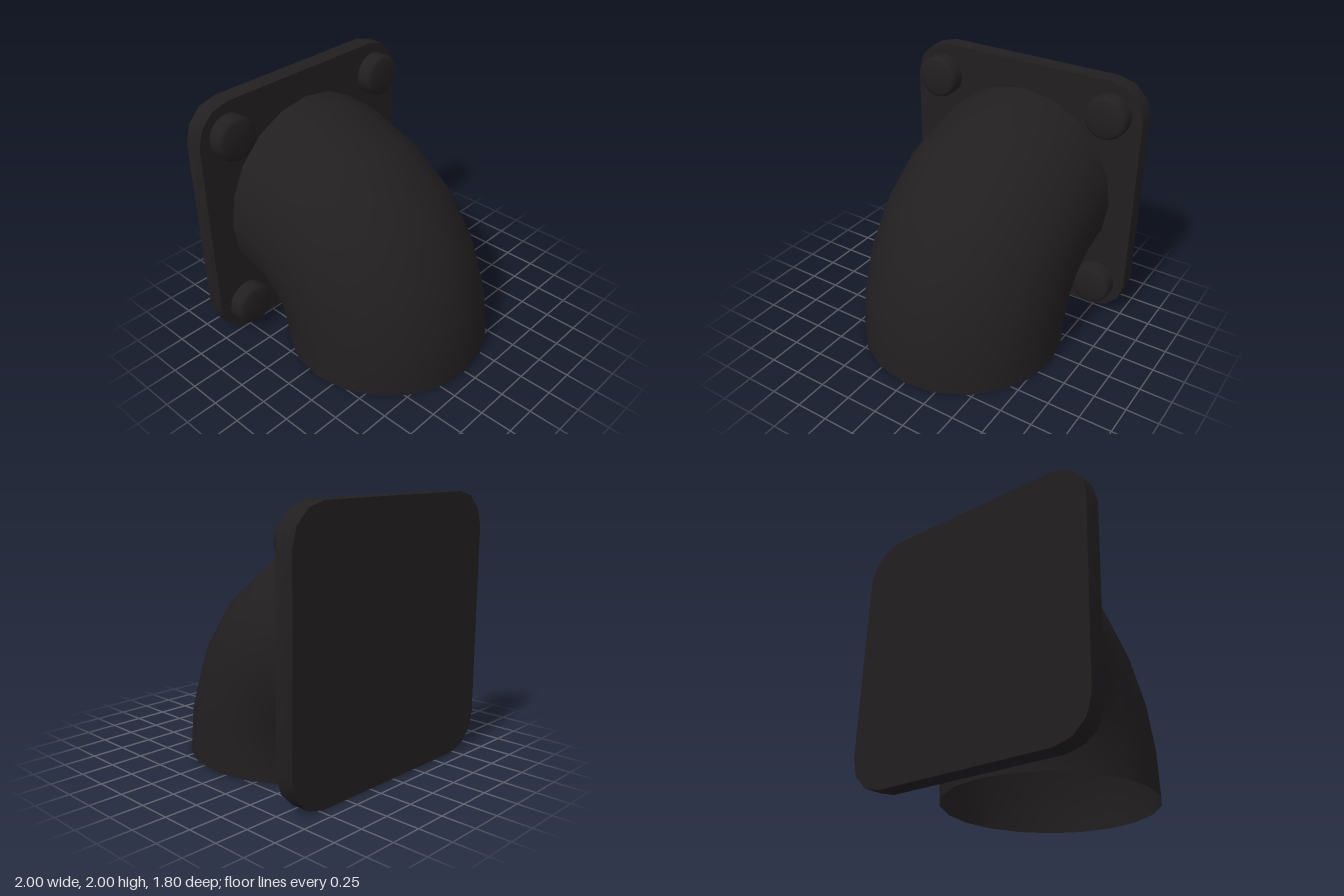
import * as THREE from 'three';
import { toCreasedNormals } from 'three/addons/utils/BufferGeometryUtils.js';

export function createModel() {
  const group = new THREE.Group();
  const material = new THREE.MeshStandardMaterial({ color: 0x221f21 });
  const add = (name, geometry, mat = material) => {
    const mesh = new THREE.Mesh(geometry, mat);
    mesh.name = name;
    group.add(mesh);
    return mesh;
  };

  // Square mounting plate with rounded corners
  const r = 0.28;
  const outline = new THREE.Shape();
  outline.absarc(1 - r, 2 - r, r, 0, Math.PI / 2);
  outline.absarc(r - 1, 2 - r, r, Math.PI / 2, Math.PI);
  outline.absarc(r - 1, r, r, Math.PI, Math.PI * 1.5);
  outline.absarc(1 - r, r, r, Math.PI * 1.5, Math.PI * 2);
  // absarc is sampled with twice curveSegments, so sample the corners here
  const corners = [];
  for (const curve of outline.curves) {
    if (curve.type === 'EllipseCurve') corners.push(...curve.getPoints(3));
  }
  const plateGeometry = new THREE.ExtrudeGeometry(new THREE.Shape(corners), { depth: 0.145, bevelEnabled: false });
  add('mountingPlate', toCreasedNormals(plateGeometry, 0.6)).position.z = -0.9;

  // Open elbow pipe, bending from the floor back into the plate
  const path = new THREE.CubicBezierCurve3(
    new THREE.Vector3(0, 0, 0.1),
    new THREE.Vector3(0, 0.61, 0.1),
    new THREE.Vector3(0, 1, -0.29),
    new THREE.Vector3(0, 1, -0.9)
  );
  const pipeMaterial = material.clone();
  pipeMaterial.side = THREE.DoubleSide;
  add('elbowPipe', new THREE.TubeGeometry(path, 6, 0.8, 20, false), pipeMaterial);

  // Four bolt heads with softened rims
  const profile = [[0.168, -0.02], [0.168, 0.095], [0.159, 0.117], [0.137, 0.127], [0, 0.127]]
    .map(([x, y]) => new THREE.Vector2(x, y));
  const boltGeometry = toCreasedNormals(new THREE.LatheGeometry(profile, 20).rotateX(Math.PI / 2), 0.9);
  for (const x of [-0.745, 0.745]) {
    for (const y of [0.255, 1.745]) {
      add('boltHead', boltGeometry).position.set(x, y, -0.757);
    }
  }
  return group;
}
